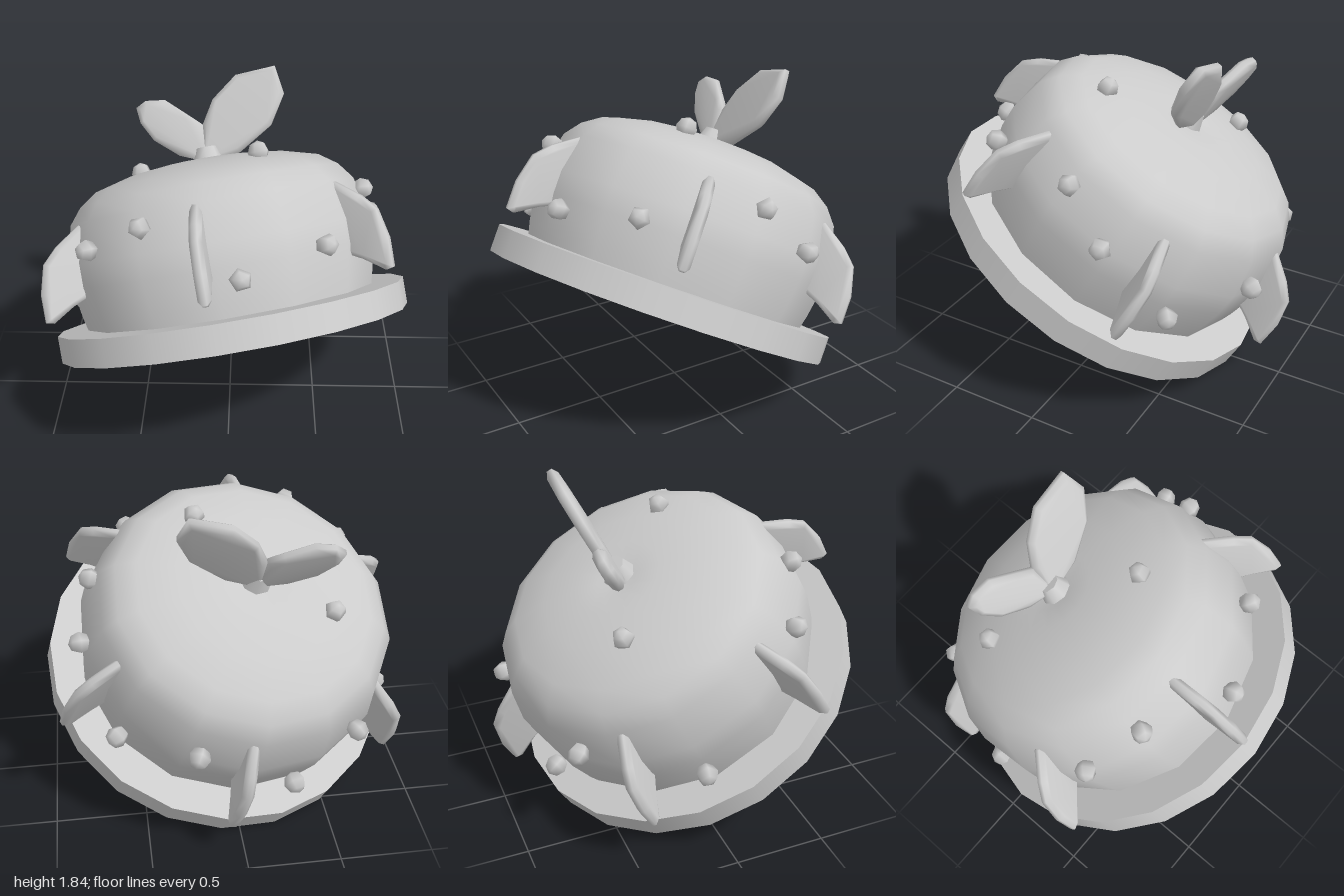
import * as THREE from 'three';
import { mergeVertices } from 'three/addons/utils/BufferGeometryUtils.js';

const grey = new THREE.MeshStandardMaterial({ color: 0xcccccc });

function part(name, geometry) {
  const mesh = new THREE.Mesh(geometry, grey);
  mesh.name = name;
  return mesh;
}

// Thin pillow-like plate with smooth normals, centred on its own plane
function plate(points, thickness) {
  const shape = new THREE.Shape(points.map(([x, y]) => new THREE.Vector2(x, y)));
  const bevel = thickness * 0.3;
  const geometry = new THREE.ExtrudeGeometry(shape, {
    depth: thickness - 2 * bevel, bevelEnabled: true, bevelThickness: bevel,
    bevelSize: 0.025, bevelOffset: -0.025, bevelSegments: 1,
  });
  geometry.translate(0, 0, bevel - thickness / 2);
  geometry.deleteAttribute('normal');
  geometry.deleteAttribute('uv');
  const smooth = mergeVertices(geometry);
  smooth.computeVertexNormals();
  return smooth;
}

export function createModel() {
  const model = new THREE.Group();
  model.name = 'tiltedPlant';

  // Everything is built upright, then tilted back and to one side
  const body = new THREE.Group();
  body.name = 'tiltedBody';
  model.add(body);
  const up = new THREE.Vector3(-0.18, 0.853, -0.49).normalize();
  const side = new THREE.Vector3().crossVectors(up, new THREE.Vector3(0, 0, 1)).normalize();
  const front = new THREE.Vector3().crossVectors(side, up);
  body.quaternion.setFromRotationMatrix(new THREE.Matrix4().makeBasis(side, up, front));
  body.position.set(0.03, 0.515, 0.14);
  const turn = 0.025;

  // Base disc
  const base = part('baseDisc', new THREE.CylinderGeometry(0.985, 0.985, 0.15, 20));
  base.position.y = 0.075;
  base.rotation.y = turn;
  body.add(base);

  // Rounded bulb with a flattened, slightly dimpled top
  const profile = [
    [0.8, 0.1], [0.83, 0.22], [0.86, 0.4], [0.86, 0.53], [0.81, 0.74], [0.74, 0.83],
    [0.64, 0.9], [0.44, 0.955], [0.24, 0.98], [0.12, 0.975], [0, 0.96],
  ].map(([r, y]) => new THREE.Vector2(r, y));
  body.add(part('bulb', new THREE.LatheGeometry(profile, 14, 0.09)));

  // Six radial fins around the side
  const finGeometry = plate([
    [0.78, 0.36], [0.9, 0.31], [1.02, 0.24], [1.06, 0.25], [1.06, 0.4],
    [1.02, 0.555], [0.94, 0.635], [0.8, 0.73], [0.72, 0.7],
  ], 0.065);
  for (let i = 0; i < 6; i++) {
    const fin = part('sideFin', finGeometry);
    fin.rotation.y = (i * Math.PI) / 3 - Math.PI / 2 + turn;
    body.add(fin);
  }

  // Small five-sided knobs, each pointing outward
  const knobs = [
    [-0.27, 0.66, 0.81], [-0.6, 0.59, 0.64], [0.19, 0.33, 0.86], [0.62, 0.42, 0.64],
    [0.34, 0.95, 0.39], [0.84, 0.67, 0.1], [0.86, 0.54, -0.22], [0.62, 0.36, -0.65],
    [0.24, 0.61, -0.84], [-0.34, 0.36, -0.83], [-0.88, 0.31, -0.14], [-0.4, 0.98, -0.12],
    [-0.6, 0.65, -0.63],
  ];
  const knobGeometry = new THREE.SphereGeometry(0.06, 5, 4);
  const yAxis = new THREE.Vector3(0, 1, 0);
  for (const [x, y, z] of knobs) {
    const knob = part('knob', knobGeometry);
    knob.position.set(x, y, z);
    const outward = y > 0.9 ? yAxis : new THREE.Vector3(x, 0, z).normalize();
    knob.quaternion.setFromUnitVectors(yAxis, outward);
    body.add(knob);
  }

  // Sprout: short stem with a large and a small leaf
  const sprout = new THREE.Group();
  sprout.name = 'sprout';
  sprout.position.y = 1.0;
  const stem = part('stem', new THREE.CylinderGeometry(0.06, 0.11, 0.14, 8));
  stem.position.set(0.02, -0.02, 0.02);
  const largeLeaf = part('largeLeaf', plate([
    [-0.02, -0.04], [0.2, -0.01], [0.4, 0.11], [0.5, 0.27], [0.475, 0.43],
    [0.25, 0.42], [0.1, 0.31], [0.02, 0.18],
  ], 0.07));
  const smallLeaf = part('smallLeaf', plate([
    [0.03, -0.04], [0.02, 0.18], [-0.05, 0.245], [-0.17, 0.355], [-0.28, 0.37],
    [-0.34, 0.34], [-0.33, 0.25], [-0.27, 0.14], [-0.14, 0.03],
  ], 0.07));
  sprout.add(stem, largeLeaf, smallLeaf);
  body.add(sprout);

  return model;
}
